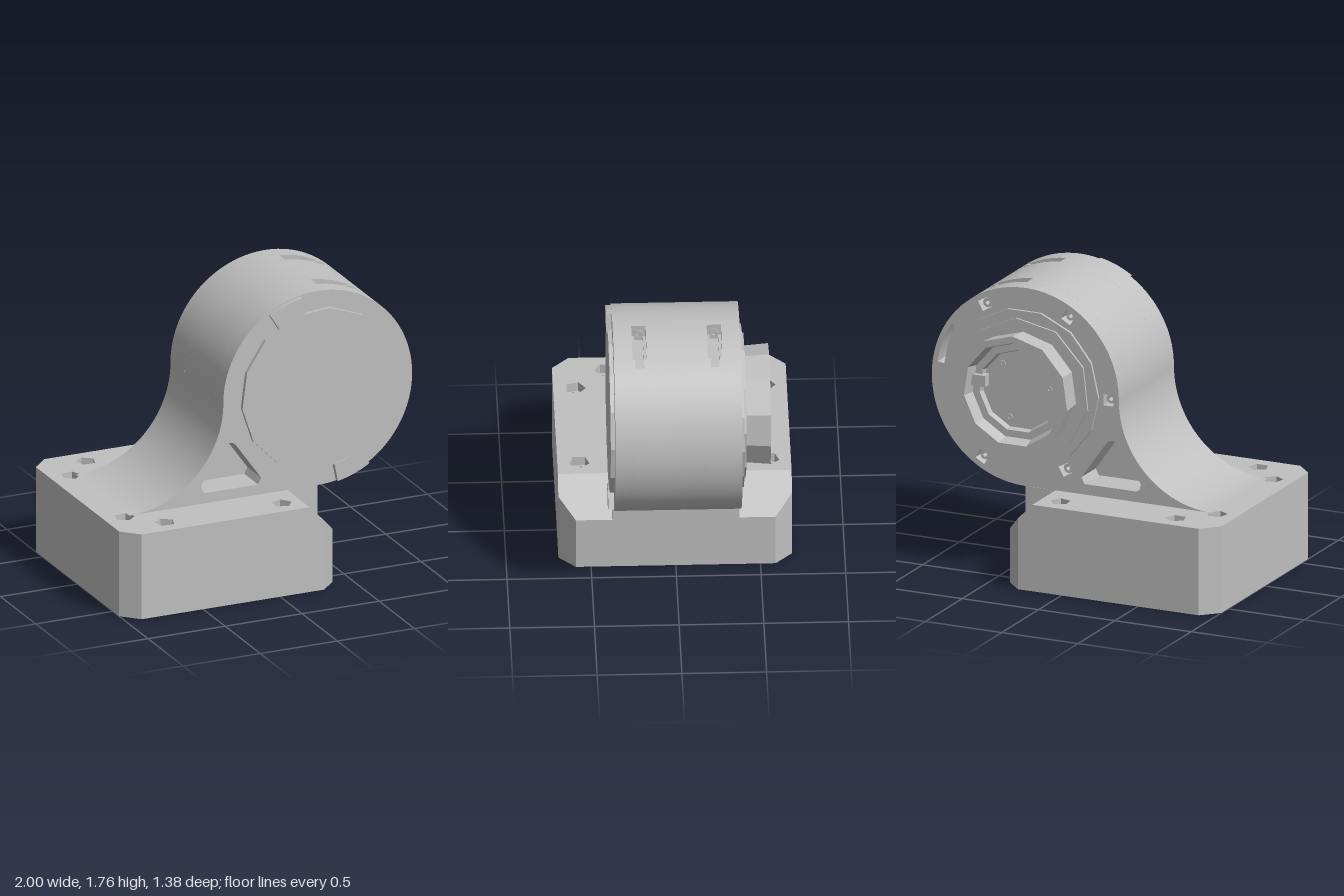
import * as THREE from 'three';
import { toCreasedNormals } from 'three/addons/utils/BufferGeometryUtils.js';

const CX = 0.3875, CY = 1.148, R = 0.6125; // axis and radius of the motor housing
const TOP = 0.535, MID = 0.335, CEIL = 0.42; // deck top, foot of the slopes, cavity ceiling
const DEG = Math.PI / 180;

export function createModel() {
  const model = new THREE.Group();
  const grey = new THREE.MeshStandardMaterial({ color: 0xc0c0c0 });
  grey.name = 'plain grey';

  const add = (name, geometry) => {
    const mesh = new THREE.Mesh(toCreasedNormals(geometry, 0.4), grey);
    mesh.name = name;
    model.add(mesh);
  };
  const shapeOf = pts => new THREE.Shape(pts.map(p => new THREE.Vector2(...p)));
  const polygon = (x, y, r, sides, turn = 0) => {
    const pts = [];
    for (let i = 0; i < sides; i++) {
      const a = turn + i * 2 * Math.PI / sides;
      pts.push([x + r * Math.cos(a), y + r * Math.sin(a)]);
    }
    return shapeOf(pts);
  };
  const sector = (r0, r1, a0, a1) => {
    const s = new THREE.Shape();
    s.absarc(CX, CY, r1, a0, a1, false);
    s.absarc(CX, CY, r0, a1, a0, true);
    return s;
  };
  // Upright prism from a plan outline in (x, -z)
  const upright = (pts, y0, y1, holes = []) => {
    const shape = shapeOf(pts);
    shape.holes.push(...holes);
    return new THREE.ExtrudeGeometry(shape, { depth: y1 - y0, bevelEnabled: false })
      .rotateX(-Math.PI / 2).translate(0, y0, 0);
  };
  // Slab of a front outline between two depths
  const slab = (shape, z0, z1) => new THREE.ExtrudeGeometry(shape,
    { depth: z1 - z0, bevelEnabled: false, curveSegments: 40 }).translate(0, 0, z0);

  // ---- Base: hollow underside, drilled top, sloped front corners ----
  const outline = (x0, x1, z, c) => [[x0 + c, -z], [x1 - c, -z], [x1, -z + c], [x1, z - c],
    [x1 - c, z], [x0 + c, z], [x0, z - c], [x0, -z + c]];
  const screwSpots = [[-0.69, 0.56], [0.07, 0.56], [-0.87, 0.38]];
  const drills = (r, sides) => [1, -1].flatMap(s =>
    screwSpots.map(([x, z], i) => polygon(x, s * z, r, sides, 0.3 + i)));
  const mouth = outline(-0.96, 0.345, 0.65, 0.09), ceiling = outline(-0.925, 0.15, 0.62, 0.03);
  const deck = [[-0.9, -0.69], [0.19, -0.69], [0.19, 0.69], [-0.9, 0.69], [-1, 0.59], [-1, -0.59]];
  add('baseWalls', upright(outline(-1, 0.385, 0.69, 0.1), 0, MID, [shapeOf(mouth)]));
  add('upperWalls', upright(deck, MID, CEIL, [shapeOf(ceiling)]));
  add('deckLower', upright(deck, CEIL, 0.475, drills(0.045, 4)));
  add('deckUpper', upright(deck, 0.475, TOP, drills(0.063, 5)));
  add('deckCentre', new THREE.BoxGeometry(0.195, TOP - MID, 0.75)
    .translate(0.2875, (TOP + MID) / 2, 0));

  // Tapered lining of the cavity, facing inward
  const lining = [];
  for (let i = 0; i < 8; i++) {
    const j = (i + 1) % 8;
    const low = k => [mouth[k][0], 0, -mouth[k][1]];
    const high = k => [ceiling[k][0], CEIL, -ceiling[k][1]];
    lining.push(...low(i), ...high(j), ...low(j), ...low(i), ...high(i), ...high(j));
  }
  add('cavityLining', new THREE.BufferGeometry()
    .setAttribute('position', new THREE.Float32BufferAttribute(lining, 3)));

  for (const s of [1, -1]) {
    const ramp = upright([[0.19, 0.375], [0.385, 0.375], [0.385, 0.59], [0.285, 0.69], [0.19, 0.69]]
      .map(([x, z]) => [x, s * z]), MID, TOP);
    const p = ramp.attributes.position;
    for (let i = 0; i < p.count; i++) {
      p.setY(i, Math.min(p.getY(i), TOP - (p.getX(i) - 0.19) * 0.2 / 0.195));
    }
    add('slopedCorner', ramp);
    // Screw boss hanging inside the corner
    add('cornerBoss', upright([[-0.96, 0.28], [-0.82, 0.31], [-0.62, 0.48], [-0.59, 0.65],
      [-0.87, 0.65], [-0.96, 0.56]].map(([x, z]) => [x, s * z]), 0.305, CEIL,
    [polygon(-0.69, s * 0.56, 0.045, 4, 0.3), polygon(-0.87, s * 0.38, 0.045, 4, 2.3)]));
  }

  // ---- Housing and curved arm, stacked in slabs so pockets and slots are real ----
  // slot: height of the slot floor above the axis, 0 for none
  const housing = (slot, pocket) => {
    const s = new THREE.Shape();
    s.moveTo(CX - 2 * R, TOP);
    s.absarc(CX - 2 * R, CY, R, -Math.PI / 2, 0, false);
    if (slot) {
      const a = Math.acos((0.43 - CX) / R), b = Math.asin(slot / R);
      s.absarc(CX, CY, R, Math.PI, a, true);
      s.lineTo(0.43, CY + slot);
      s.absarc(CX, CY, R, b, -b, true);
      s.lineTo(0.43, CY - slot);
      s.absarc(CX, CY, R, -a, -Math.PI / 2, true);
    } else {
      s.absarc(CX, CY, R, Math.PI, -Math.PI / 2, true);
    }
    if (pocket) {
      s.holes.push(shapeOf([[-0.2, 0.89], [-0.37, 0.65], [-0.36, 0.61], [-0.34, 0.6],
        [0, 0.6], [0.02, 0.64], [-0.15, 0.88], [-0.17, 0.89]]));
    }
    return s;
  };
  const lugs = [61, 121, 181, 241, 301].map(d => [CX + 0.545 * Math.cos(d * DEG),
    CY + 0.545 * Math.sin(d * DEG), d * DEG]);
  const rear = housing(0, true);
  rear.holes.push(...lugs.map(([x, y, a]) => polygon(x, y, 0.048, 4, a + Math.PI / 4)),
    sector(0.535, 0.58, 8 * DEG, 34 * DEG));
  add('housingRear', slab(rear, -0.375, -0.265));
  add('housingMiddle', slab(housing(0, false), -0.18, 0.18));
  add('housingFront', slab(housing(0, true), 0.265, 0.375));
  // Slots with a rounded floor: shallow, deep, shallow
  for (const [z0, z1, floor] of [[0.18, 0.197, 0.54], [0.197, 0.248, 0.512], [0.248, 0.265, 0.54]]) {
    add('housingSlotFront', slab(housing(floor, true), z0, z1));
    add('housingSlotRear', slab(housing(floor, true), -z1, -z0));
  }

  // Screws in the slots and in the rear lugs
  const ring = (r, hole, x, y, z0, z1) => {
    const s = polygon(x, y, r, 10);
    s.holes.push(polygon(x, y, hole, 6));
    return slab(s, z0, z1);
  };
  for (const z of [-0.2225, 0.2225]) {
    for (const y of [CY + 0.555, CY - 0.555]) {
      add('slotScrew', ring(0.03, 0.014, 0, 0, 0, 0.007).rotateY(Math.PI / 2).translate(0.43, y, z));
    }
  }
  for (const [x, y] of lugs) add('rearScrew', ring(0.03, 0.014, x, y, -0.34, -0.265));

  // ---- Front cap with two locking tabs ----
  add('frontCap', slab(polygon(CX + 0.005, CY, 0.507, 14, 0.1), 0.37, 0.4));
  for (const turn of [0, 180]) {
    add('lockingTab', slab(sector(0.49, 0.605, (101 + turn) * DEG, (122 + turn) * DEG), 0.37, 0.408));
  }

  // ---- Rear collar and hollow output hub ----
  add('rearCollar', slab(polygon(CX, CY, 0.485, 14), -0.392, -0.37));
  add('rearCollarStep', slab(polygon(CX, CY, 0.43, 10, 0.2), -0.405, -0.39));
  const hubProfile = [[0.35, 0], [0.362, 0.148], [0.32, 0.148], [0.3, 0.07], [0.255, 0.07],
    [0.245, 0.035], [0, 0.035]].map(p => new THREE.Vector2(...p));
  add('outputHub', new THREE.LatheGeometry(hubProfile, 11)
    .rotateX(-Math.PI / 2).translate(CX, CY, -0.403));
  add('hubKey', new THREE.BoxGeometry(0.09, 0.07, 0.06).translate(CX + 0.25, CY + 0.04, -0.47));
  for (let i = 0; i < 3; i++) {
    const a = 0.9 + i * 2 * Math.PI / 3;
    add('hubScrew', ring(0.02, 0.009, CX + 0.19 * Math.cos(a), CY + 0.19 * Math.sin(a), -0.444, -0.43));
  }
  return model;
}
